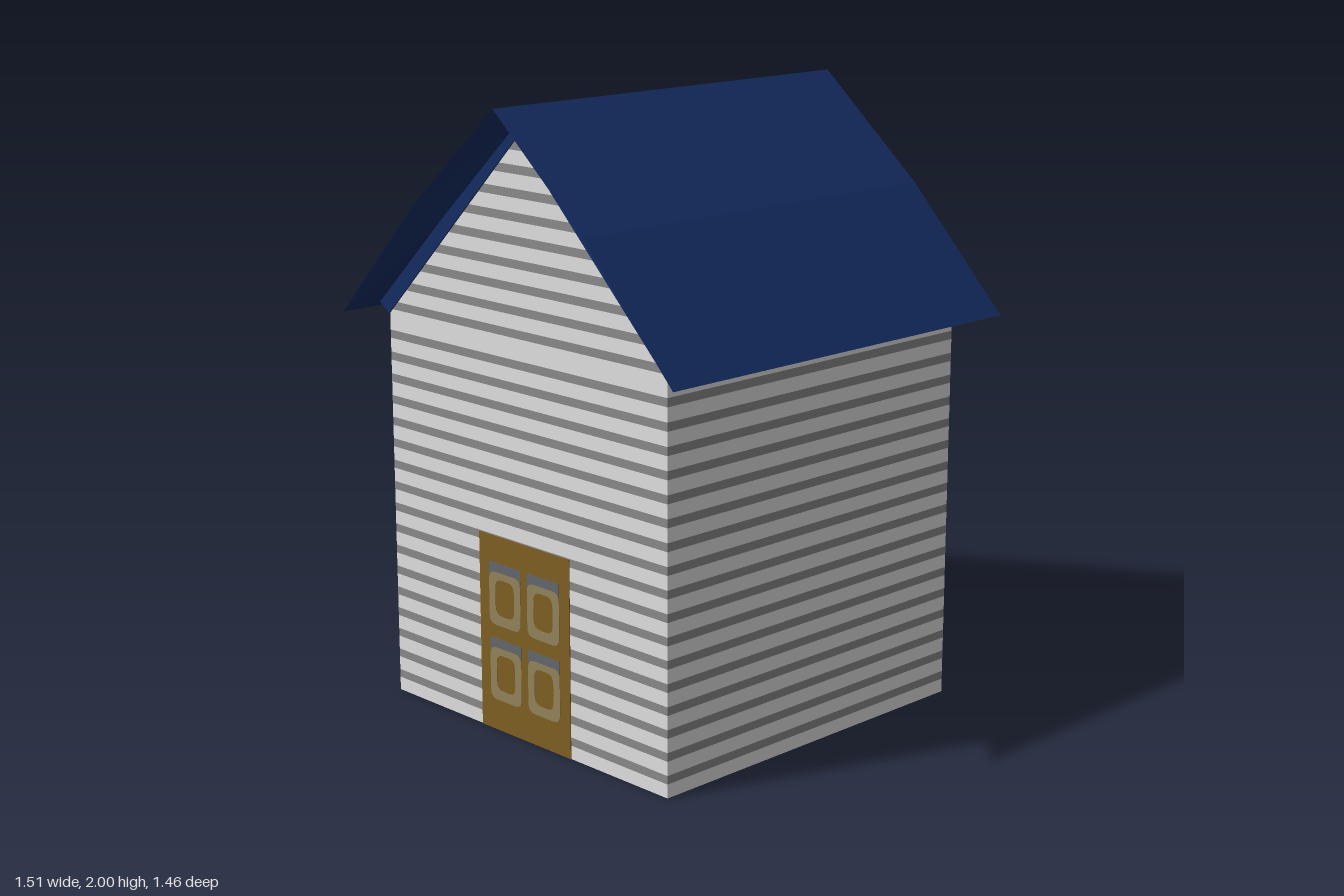
import * as THREE from 'three';

const D = THREE.DoubleSide;
const material = (name, hex) => {
  const m = new THREE.MeshStandardMaterial({ color: hex, side: D });
  m.name = name;
  return m;
};

// Flat-shaded mesh from a list of quads, each four [x, y, z] corners counter-clockwise
function quadMesh(name, quads, mat) {
  const pos = quads.flatMap(([a, b, c, d]) => [...a, ...b, ...c, ...a, ...c, ...d]);
  const g = new THREE.BufferGeometry();
  g.setAttribute('position', new THREE.Float32BufferAttribute(pos, 3));
  g.computeVertexNormals();
  const mesh = new THREE.Mesh(g, mat);
  mesh.name = name;
  return mesh;
}

function box(name, w, h, d, x, y, z, mat) {
  const mesh = new THREE.Mesh(new THREE.BoxGeometry(w, h, d), mat);
  mesh.position.set(x, y, z);
  mesh.name = name;
  return mesh;
}

function roundedRect(target, w, h, r, y = 0) {
  const x0 = -w / 2, y0 = y - h / 2, x1 = w / 2, y1 = y + h / 2;
  target.moveTo(x0 + r, y0).lineTo(x1 - r, y0).quadraticCurveTo(x1, y0, x1, y0 + r)
    .lineTo(x1, y1 - r).quadraticCurveTo(x1, y1, x1 - r, y1)
    .lineTo(x0 + r, y1).quadraticCurveTo(x0, y1, x0, y1 - r)
    .lineTo(x0, y0 + r).quadraticCurveTo(x0, y0, x0 + r, y0);
  return target;
}

export function createModel() {
  const model = new THREE.Group();
  model.name = 'shed';
  const siding = material('siding', 0xe0e0e0);
  const groove = material('siding groove', 0x8a8a8a);
  const navy = material('navy roof', 0x142d63);
  const brown = material('door brown', 0x7e5f22);
  const tan = material('panel tan', 0x93835c);
  const grey = material('panel grey', 0x63666b);

  // Open walls made of alternating siding and groove bands
  const W = 0.635, EAVE = 1.28, PEAK = 1.92;
  const halfWidth = (y) => (y <= EAVE ? W : W * (PEAK - y) / (PEAK - EAVE));
  const light = [], dark = [];
  function addBand(list, y0, y1) {
    if (y0 < EAVE && y1 > EAVE) {
      addBand(list, y0, EAVE);
      addBand(list, EAVE, y1);
      return;
    }
    const a = halfWidth(y0), b = halfWidth(y1);
    list.push([[-a, y0, W], [a, y0, W], [b, y1, W], [-b, y1, W]]);
    list.push([[a, y0, -W], [-a, y0, -W], [-b, y1, -W], [b, y1, -W]]);
    if (y0 < EAVE) {
      list.push([[W, y0, W], [W, y0, -W], [W, y1, -W], [W, y1, W]]);
      list.push([[-W, y0, -W], [-W, y0, W], [-W, y1, W], [-W, y1, -W]]);
    }
  }
  let top = 0;
  for (let k = 0; k < 26; k++) {
    const y = k < 17 ? 0.058 + 0.0721 * k : 1.307 + 0.0718 * (k - 17);
    addBand(light, top, y - 0.0135);
    addBand(dark, y - 0.0135, y + 0.0135);
    top = y + 0.0135;
  }
  addBand(light, top, PEAK);
  model.add(quadMesh('wallSiding', light, siding), quadMesh('wallGrooves', dark, groove));

  // Small plain patch on the back wall
  model.add(box('backPatch', 0.026, 0.15, 0.006, 0, 0.61, -W, siding));

  // Roof shell: outer slopes with edges bevelled back to the gables
  const outer = [[-0.755, 1.28], [-0.386, 1.667], [0, 2], [0.386, 1.667], [0.755, 1.28]];
  const inner = [[-0.68, 1.31], [-0.365, 1.612], [0, 1.945], [0.365, 1.612], [0.68, 1.31]];
  const row = (profile, z) => profile.map(([x, y]) => [x, y, z]);
  const rows = [row(inner, -0.64), row(outer, -0.73), row(outer, 0.73), row(inner, 0.64)];
  const roof = [];
  for (let k = 0; k < 3; k++) {
    for (let i = 0; i < 4; i++) {
      roof.push([rows[k][i], rows[k + 1][i], rows[k + 1][i + 1], rows[k][i + 1]]);
    }
  }
  // Soffits under the eaves
  roof.push([rows[0][0], rows[3][0], rows[2][0], rows[1][0]]);
  roof.push([rows[1][4], rows[2][4], rows[3][4], rows[0][4]]);
  model.add(quadMesh('roofShell', roof, navy));

  // Inner roof layer whose ends trim the gables
  const trim = new THREE.Shape([...inner, [W, EAVE], [0, 1.908], [-W, EAVE]]
    .map(([x, y]) => new THREE.Vector2(x, y)));
  const layer = new THREE.Mesh(
    new THREE.ExtrudeGeometry(trim, { depth: 1.28, bevelEnabled: false }), navy);
  layer.position.z = -0.64;
  layer.name = 'roofInnerLayer';
  model.add(layer);

  // Double door, showing on both faces of the front wall
  const door = new THREE.Group();
  door.name = 'door';
  door.position.z = W;
  door.add(box('doorLeaves', 0.42, 0.645, 0.005, 0, 0.3225, 0, brown));
  const frame = roundedRect(new THREE.Shape(), 0.148, 0.175, 0.03);
  frame.holes.push(roundedRect(new THREE.Path(), 0.088, 0.12, 0.03, 0.005));
  const frameGeo = new THREE.ExtrudeGeometry(frame, { depth: 0.008, bevelEnabled: false, curveSegments: 4 });
  for (const x of [-0.09, 0.09]) {
    for (const y of [0.19, 0.44]) {
      const panel = new THREE.Mesh(frameGeo, tan);
      panel.position.set(x, y, -0.004);
      panel.name = 'doorPanelFrame';
      door.add(panel, box('doorPanelShade', 0.148, 0.045, 0.0075, x, y + 0.095, 0, grey));
    }
  }
  model.add(door);
  return model;
}
